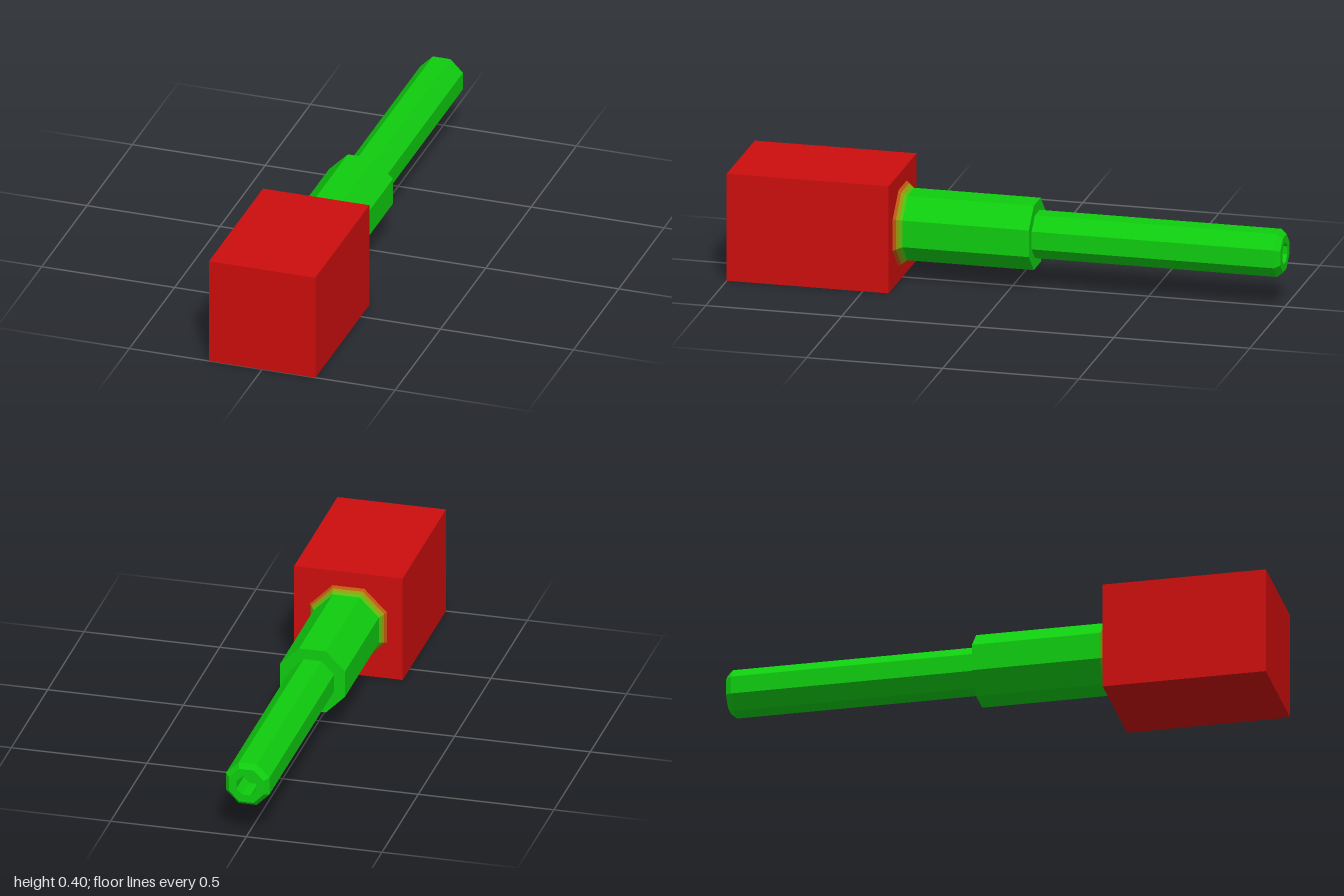
import * as THREE from 'three';

const material = (name, color) => {
  const m = new THREE.MeshStandardMaterial({ color });
  m.name = name;
  return m;
};

// Flat-sided octagonal turning along z; the profile lists [apothem, z] from front to back
function octagon(name, profile, mat) {
  const points = profile.map(([a, z]) => new THREE.Vector2(a / Math.cos(Math.PI / 8), -z));
  const geometry = new THREE.LatheGeometry(points, 8, Math.PI / 8).toNonIndexed();
  geometry.rotateX(-Math.PI / 2);
  geometry.computeVertexNormals();
  const mesh = new THREE.Mesh(geometry, mat);
  mesh.name = name;
  mesh.position.y = 0.2;
  return mesh;
}

export function createModel() {
  const model = new THREE.Group();
  const red = material('red', 0xcc0d0d);
  const green = material('green', 0x0fcc0f);

  // Block at the front
  const block = new THREE.Mesh(new THREE.BoxGeometry(0.4, 0.4, 0.595), red);
  block.name = 'block';
  block.position.set(0, 0.2, 0.7025);
  model.add(block);

  // Flared collar, shading from red at the block to green at the sleeve
  const bands = [
    material('orange', 0xbc580e),
    material('olive', 0x96960e),
    material('lime', 0x58bc0e),
  ];
  bands.forEach((mat, i) => {
    const ring = (t) => [0.142 - 0.022 * t, 0.405 - 0.03 * t];
    model.add(octagon('collarBand' + (i + 1), [ring(i / 3), ring((i + 1) / 3)], mat));
  });

  // Thick sleeve with its rear shoulder
  model.add(octagon('sleeve', [[0.12, 0.375], [0.12, -0.09], [0.08, -0.09]], green));

  // Thin barrel with chamfered muzzle and a blind bore
  model.add(octagon('barrel', [
    [0.08, -0.09], [0.08, -0.98], [0.064, -1], [0.036, -1], [0.036, -0.9], [0, -0.9],
  ], green));

  return model;
}
